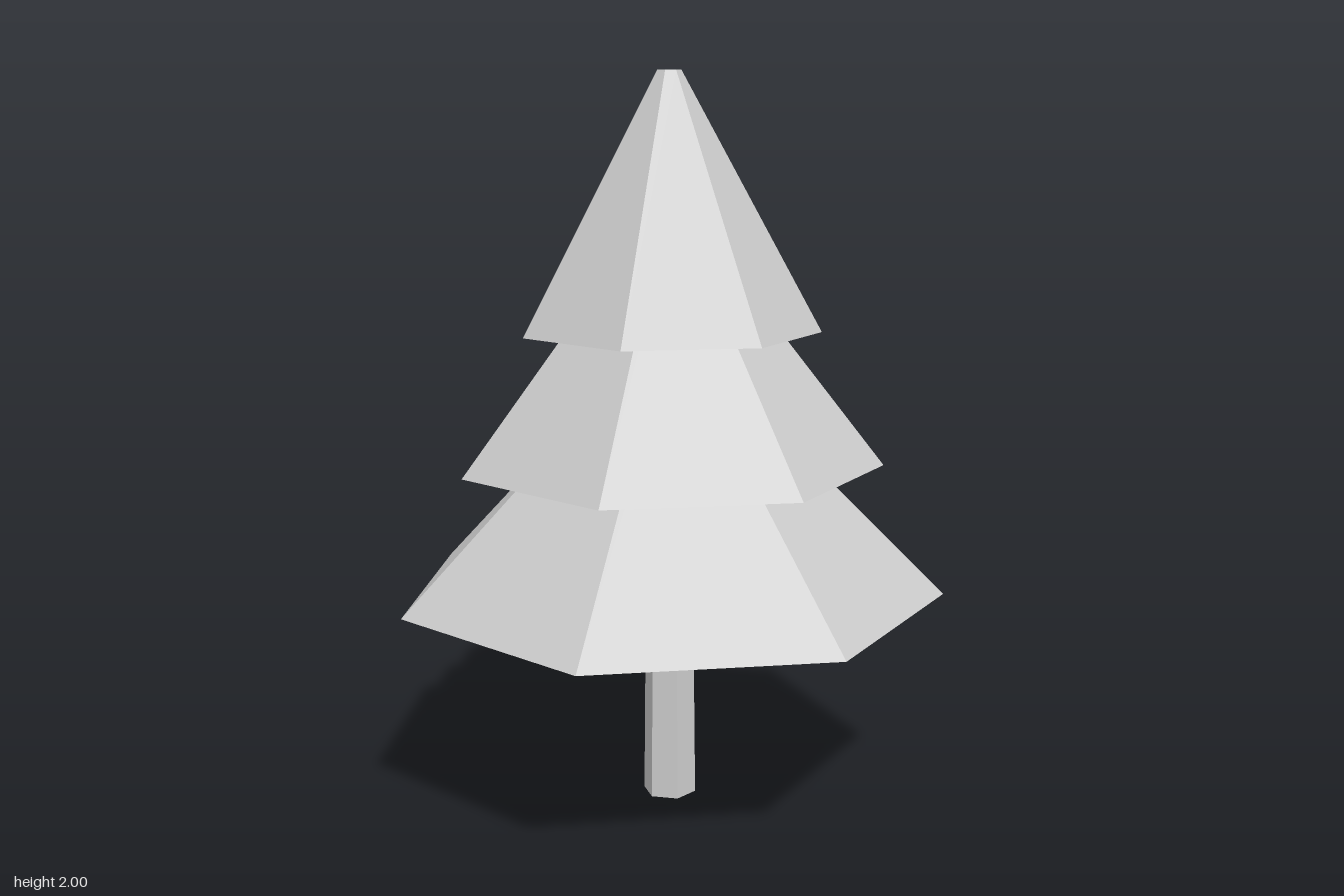
import * as THREE from 'three';

export function createModel() {
  const tree = new THREE.Group();
  tree.name = 'tree';
  const grey = new THREE.MeshStandardMaterial({ color: 0xcccccc, flatShading: true });
  grey.name = 'light grey';

  // Faceted frustum with one corner pointing along +x
  const frustum = (name, rTop, rBottom, y0, y1, sides) => {
    const geometry = new THREE.CylinderGeometry(rTop, rBottom, y1 - y0, sides, 1, false, Math.PI / 2);
    const mesh = new THREE.Mesh(geometry, grey);
    mesh.name = name;
    mesh.position.set(-0.038, (y0 + y1) / 2, 0);
    tree.add(mesh);
  };

  // Slightly tapered six-sided trunk
  frustum('trunk', 0.067, 0.074, 0, 0.62, 6);

  // Three overlapping seven-sided layers of foliage
  frustum('lowerFoliage', 0.033, 0.755, 0.592, 1.31, 7);
  frustum('middleFoliage', 0.033, 0.583, 0.952, 1.655, 7);
  frustum('upperFoliage', 0.033, 0.41, 1.314, 2, 7);

  return tree;
}
